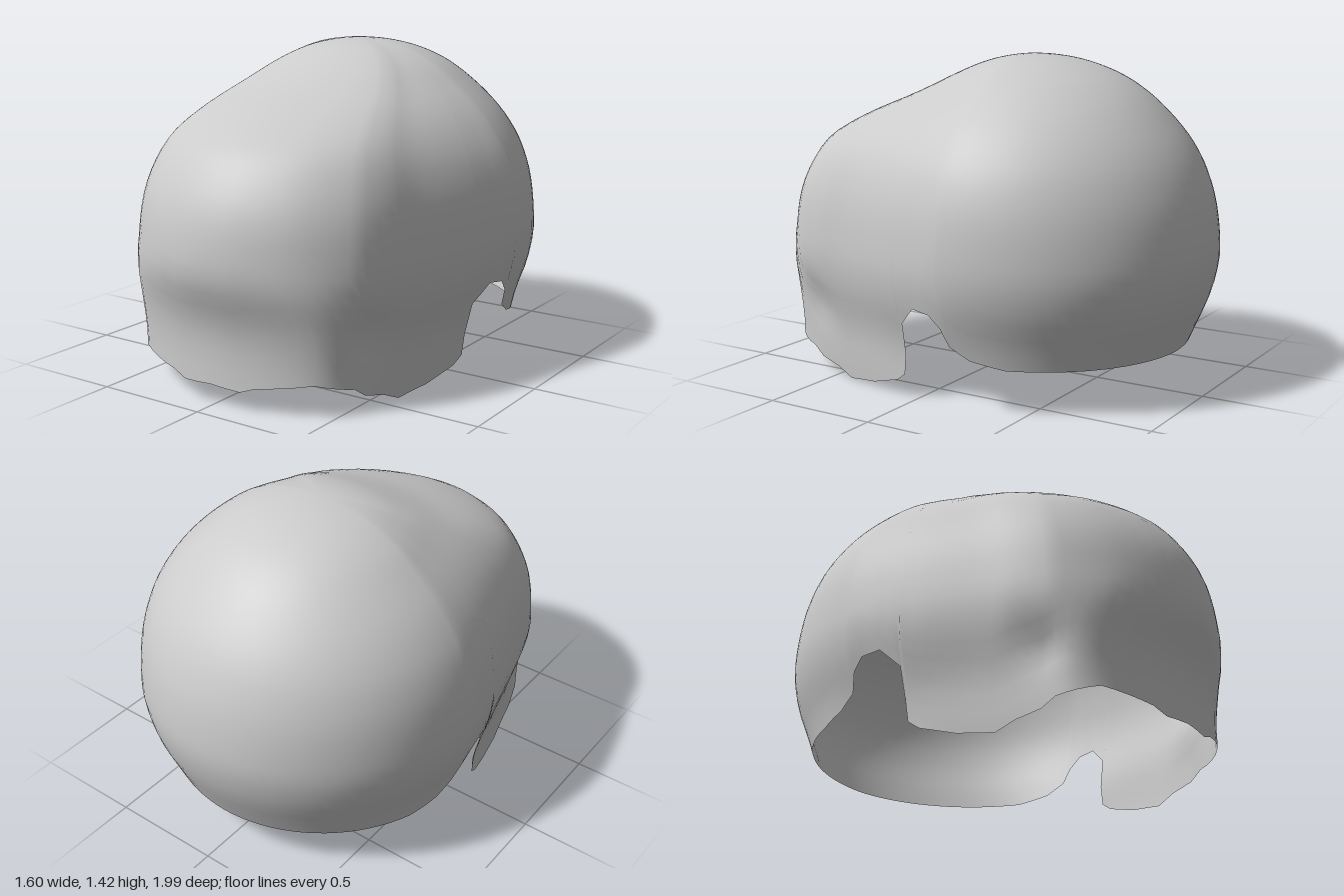
import * as THREE from 'three';

const TOP = 1.425, MID_Z = -0.17, ROWS = 36;

// Height, front z, back z, half width
const PROFILE = [
  [1.425, -0.17, -0.17, 0], [1.4, 0.0, -0.38, 0.21], [1.33, 0.17, -0.57, 0.38], [1.25, 0.35, -0.69, 0.49],
  [1.14, 0.63, -0.8, 0.61], [1.05, 0.8, -0.87, 0.68], [0.95, 0.89, -0.925, 0.735], [0.8, 0.965, -0.975, 0.78],
  [0.6, 0.997, -1.0, 0.8], [0.5, 0.98, -0.99, 0.793], [0.4, 0.94, -0.965, 0.77], [0.3, 0.917, -0.925, 0.735],
  [0.2, 0.912, -0.88, 0.715], [0.1, 0.915, -0.84, 0.71], [0, 0.915, -0.8, 0.7],
].map(([y, ...rest]) => [Math.sqrt(TOP - y), ...rest]);

// Angle from the side (90 = front), relative width of the upper and the lower front
const FRONT = [
  [0, 1, 1], [13.3, 0.93, 0.945], [29, 0.825, 0.85], [38.6, 0.78, 0.8], [47.7, 0.71, 0.76],
  [56, 0.6, 0.71], [64, 0.475, 0.61], [73, 0.31, 0.42], [82, 0.145, 0.2], [90, 0, 0],
];

// Angle and height of the lower rim, with the notch over the ear
const RIM = [
  [90, 0.1], [82, 0.09], [78, 0.115], [64, 0.147], [50, 0.11], [45.5, 0.07], [38, 0.045], [32.5, 0.008],
  [23, 0.03], [14.5, 0.075], [11.8, 0.11], [11.2, 0.2], [10.8, 0.34], [6.4, 0.42], [2, 0.41],
  [-0.8, 0.36], [-3, 0.28], [-9.8, 0.23], [-21.6, 0.2], [-90, 0.185],
];

// Smooth interpolation through the rows of a table
function sample(table, k, column) {
  let i = 0;
  while (i < table.length - 2 && k > table[i + 1][0]) i++;
  const slope = (n) => {
    const a = table[Math.max(n - 1, 0)], b = table[Math.min(n + 1, table.length - 1)];
    return (b[column] - a[column]) / (b[0] - a[0]);
  };
  const a = table[i], b = table[i + 1], h = b[0] - a[0];
  const t = THREE.MathUtils.clamp((k - a[0]) / h, 0, 1), t2 = t * t, t3 = t2 * t;
  return (2 * t3 - 3 * t2 + 1) * a[column] + (t3 - 2 * t2 + t) * h * slope(i)
    + (3 * t2 - 2 * t3) * b[column] + (t3 - t2) * h * slope(i + 1);
}

// Point on the shell at an angle, side and height
function shellPoint(deg, side, y) {
  const q = Math.sqrt(TOP - y), rad = THREE.MathUtils.degToRad(deg);
  const end = sample(PROFILE, q, deg > 0 ? 1 : 2);
  const z = MID_Z + (end - MID_Z) * Math.abs(Math.sin(rad));
  let width = Math.cos(rad);
  if (deg > 0) {
    const low = 1 - THREE.MathUtils.smoothstep(y, 0.25, 0.65);
    width = THREE.MathUtils.lerp(sample(FRONT, deg, 1), sample(FRONT, deg, 2), low);
  }
  let x = sample(PROFILE, q, 3) * width;
  // Shallow hollow at the temple
  if (deg > 0 && deg < 90) x -= 0.03 * Math.exp(-(((z - 0.62) / 0.1) ** 2) - ((y - 0.33) / 0.09) ** 2);
  return [side * x, y, z];
}

function shellGeometry() {
  // Columns from front to back on the left, then mirrored back to the front
  const half = [];
  for (let i = 0; i < RIM.length - 1; i++) {
    const [a, ya] = RIM[i], [b, yb] = RIM[i + 1], n = Math.ceil((a - b) / 4);
    for (let k = 0; k < n; k++) {
      half.push([THREE.MathUtils.lerp(a, b, k / n), THREE.MathUtils.lerp(ya, yb, k / n), 1]);
    }
  }
  const mirrored = half.slice(1).reverse().map(([d, y]) => [d, y, -1]);
  const columns = [...half, [...RIM[RIM.length - 1], 1], ...mirrored];
  const n = columns.length;

  const positions = [0, TOP, MID_Z], index = [];
  for (let r = 1; r <= ROWS; r++) {
    for (const [deg, rim, side] of columns) {
      positions.push(...shellPoint(deg, side, TOP - (TOP - rim) * (r / ROWS) ** 2));
    }
  }
  for (let j = 0; j < n; j++) {
    const next = (j + 1) % n;
    index.push(0, 1 + j, 1 + next);
    for (let r = 0; r < ROWS - 1; r++) {
      const a = 1 + r * n + j, b = 1 + r * n + next;
      index.push(a, a + n, b + n, a, b + n, b);
    }
  }
  const geometry = new THREE.BufferGeometry();
  geometry.setAttribute('position', new THREE.Float32BufferAttribute(positions, 3));
  geometry.setIndex(index);
  geometry.computeVertexNormals();
  return geometry;
}

export function createModel() {
  const group = new THREE.Group();
  group.name = 'skullCap';
  const material = new THREE.MeshStandardMaterial({ color: 0xcccccc, side: THREE.DoubleSide });
  const shell = new THREE.Mesh(shellGeometry(), material);
  shell.name = 'shell';
  group.add(shell);
  return group;
}
